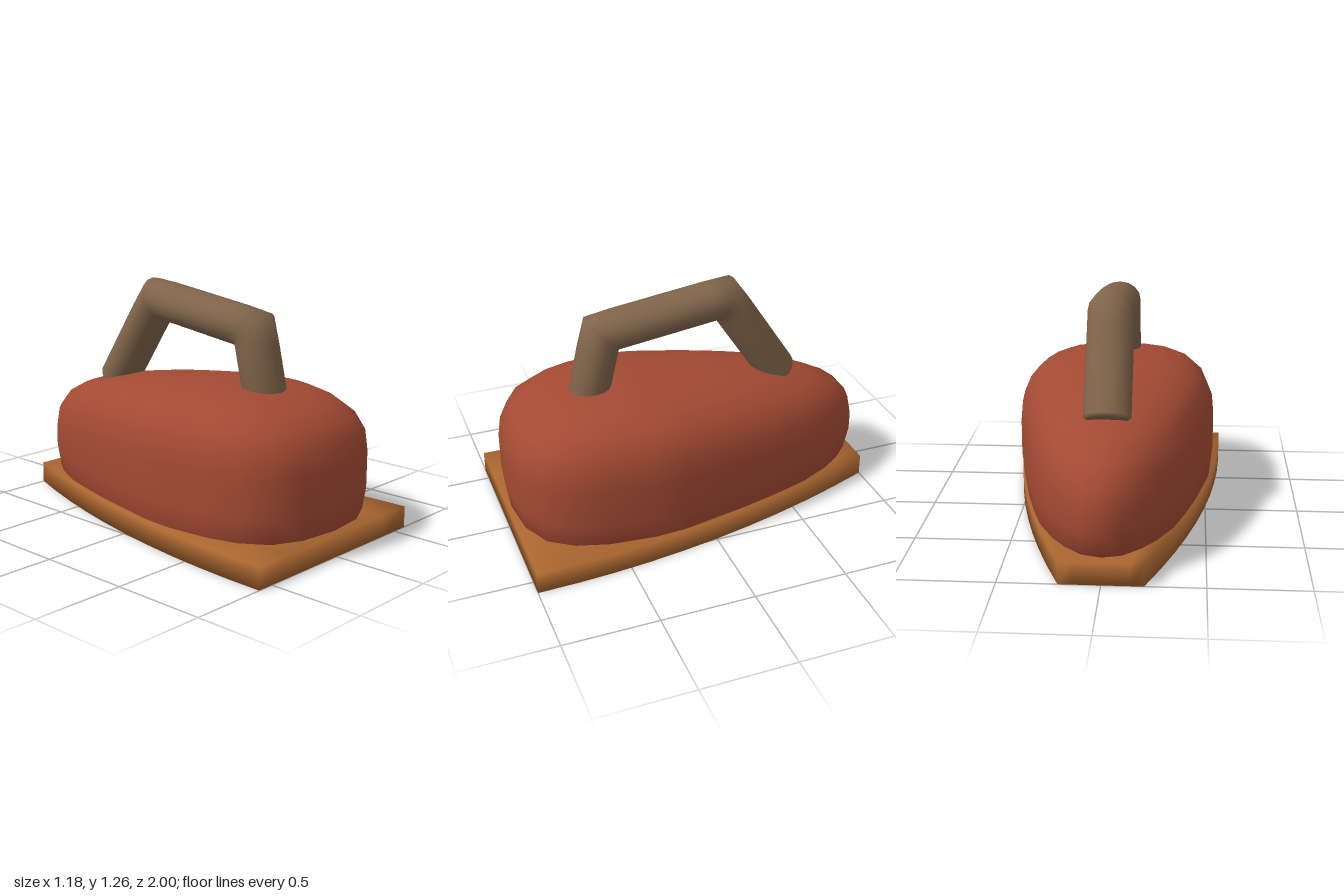
import * as THREE from 'three';
import { mergeVertices } from 'three/addons/utils/BufferGeometryUtils.js';

const paint = (name, hex) => {
  const m = new THREE.MeshStandardMaterial({ color: hex });
  m.name = name;
  return m;
};

// Skin closed rings of points, each running counter-clockwise about the direction of travel
function loft(rings) {
  const n = rings[0].length, index = [];
  for (let i = 0; i < rings.length - 1; i++) {
    for (let j = 0; j < n; j++) {
      const a = i * n + j, b = i * n + (j + 1) % n;
      index.push(a, b, a + n, b, b + n, a + n);
    }
  }
  const g = new THREE.BufferGeometry();
  g.setAttribute('position', new THREE.Float32BufferAttribute(rings.flat(2), 3));
  g.setIndex(index);
  const merged = mergeVertices(g, 1e-5);
  merged.computeVertexNormals();
  return merged;
}

// Sole plate: a softly shaded slab whose sides curve in towards the back
function soleGeometry() {
  let g = new THREE.BoxGeometry(2, 0.115, 2, 6, 1, 10);
  g.translate(0, 0.0575, 0);
  g.deleteAttribute('uv');
  g.deleteAttribute('normal');
  g = mergeVertices(g);
  const p = g.attributes.position;
  for (let i = 0; i < p.count; i++) {
    const t = (1 - p.getZ(i)) / 2;
    p.setX(i, p.getX(i) * (0.59 - 0.385 * t * t));
  }
  g.computeVertexNormals();
  return g;
}

// Body: one teardrop footprint, scaled level by level, with the top falling to the back
function bodyGeometry() {
  const half = [[0, 1], [0.22, 0.975], [0.375, 0.9], [0.465, 0.77], [0.515, 0.6], [0.54, 0.35],
    [0.53, 0.18], [0.495, 0], [0.455, -0.2], [0.405, -0.4], [0.345, -0.6], [0.265, -0.77],
    [0.19, -0.88], [0.1, -0.97], [0, -1]];
  const outline = [...half, ...half.slice(1, -1).reverse().map(([x, z]) => [-x, z])];
  const levels = [[0, 0.113], [0.6, 0.113], [0.92, 0.115], [0.977, 0.13], [1, 0.25], [1, 0.45],
    [0.98, 0.56], [0.91, 0.65], [0.8, 0.71], [0.65, 0.755], [0.43, 0.783], [0.2, 0.79], [0, 0.791]];
  const centre = 0.2;
  return loft(levels.map(([s, y]) => {
    const lean = THREE.MathUtils.clamp((y - 0.25) / 0.2, 0, 1);
    return outline.map(([x, z]) => {
      const zz = centre + (z - centre) * s;
      const d = Math.max(0, 0.4 - zz);
      return [x * s, y - lean * 0.08 * d * d / (d + 0.15), zz];
    });
  }));
}

// Handle: an oval bar with two mitred bends, path given as (z, y)
function handleGeometry() {
  const path = [[0.55, 0.64], [0.45, 1.07], [-0.225, 1.157], [-0.548, 0.667]]
    .map(([z, y]) => new THREE.Vector2(z, y));
  const sides = 16, rx = 0.12, r = 0.105, gap = 0.09;
  const ring = (c, t, scale = 1, stretch = 1) => Array.from({ length: sides }, (_, j) => {
    const a = j / sides * Math.PI * 2;
    let v = Math.sin(a) * r * scale;
    // trim the outside of a bend a little so that it reads as rounded
    v *= stretch === 1 ? 1 : (v < 0 ? stretch * 0.94 : stretch);
    return [Math.cos(a) * rx * scale, c.y + v * t.x, c.x - v * t.y];
  });
  const dirs = path.slice(1).map((p, i) => p.clone().sub(path[i]).normalize());
  const rings = [ring(path[0], dirs[0], 0), ring(path[0], dirs[0])];
  for (let i = 1; i < path.length - 1; i++) {
    const a = dirs[i - 1], b = dirs[i];
    const mid = a.clone().add(b).normalize();
    rings.push(
      ring(path[i].clone().addScaledVector(a, -gap), a),
      ring(path[i], mid, 1, 1 / mid.dot(a)),
      ring(path[i].clone().addScaledVector(b, gap), b));
  }
  const end = path[3], d = dirs[2];
  rings.push(ring(end.clone().addScaledVector(d, -0.02), d), ring(end, d, 0.88), ring(end, d, 0));
  return loft(rings);
}

export function createModel() {
  const model = new THREE.Group();
  model.name = 'flatIron';
  const add = (name, geometry, material) => {
    const mesh = new THREE.Mesh(geometry, material);
    mesh.name = name;
    model.add(mesh);
  };
  add('solePlate', soleGeometry(), paint('copper', 0xa8652f));
  add('body', bodyGeometry(), paint('brickRed', 0xa34a33));
  add('handle', handleGeometry(), paint('woodBrown', 0x80644a));
  return model;
}
